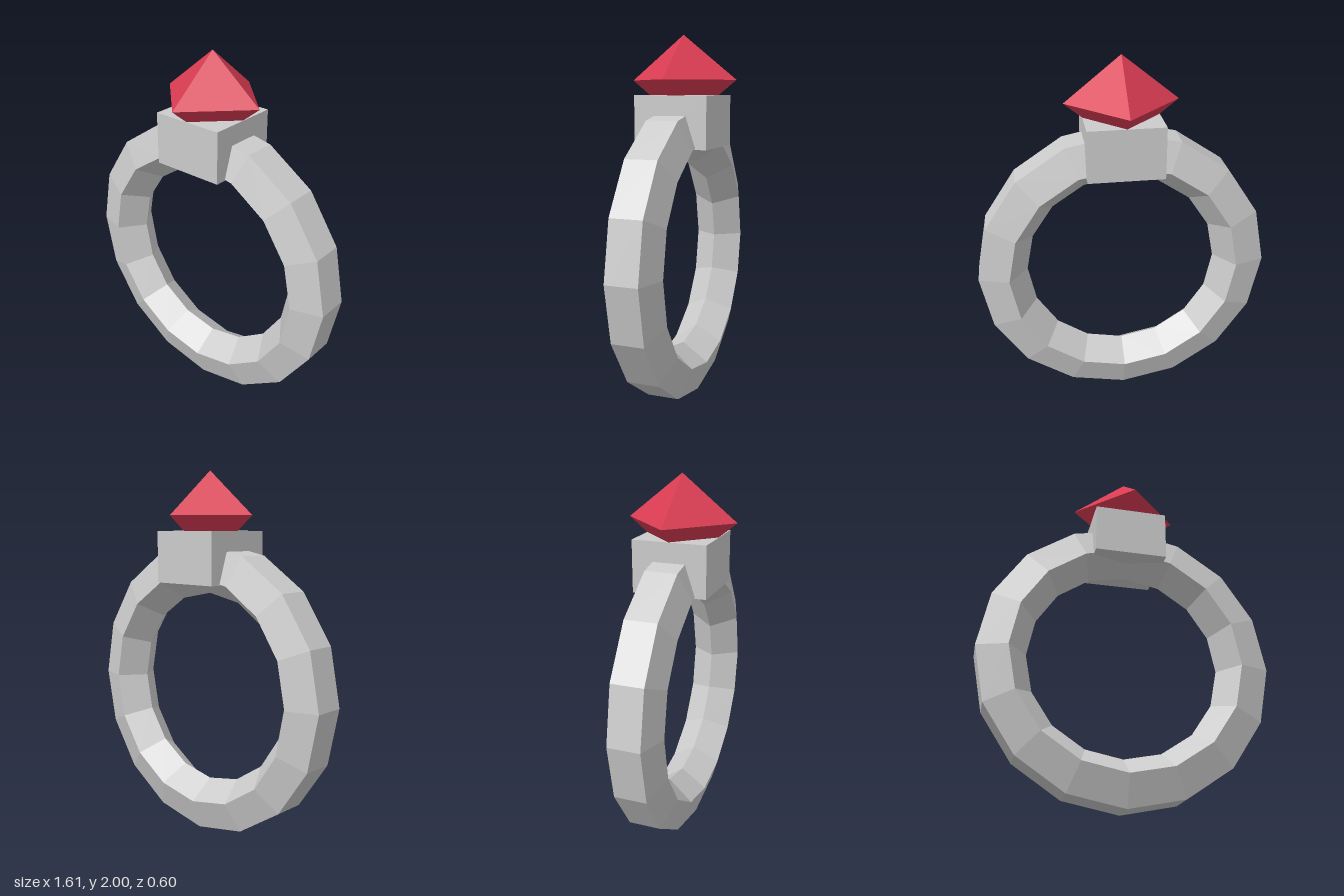
import * as THREE from 'three';

export function createModel() {
  const model = new THREE.Group();
  const grey = new THREE.MeshStandardMaterial({ color: 0xcccccc, flatShading: true });
  const red = new THREE.MeshStandardMaterial({ color: 0xd93b51, flatShading: true });

  const add = (name, geometry, material, y) => {
    const mesh = new THREE.Mesh(geometry, material);
    mesh.name = name;
    mesh.position.y = y;
    model.add(mesh);
  };

  // Band: a pentagon, point inward, swept round 16 segments
  const ringRadius = 0.685, tubeRadius = 0.15;
  const profile = [];
  for (let i = 0; i <= 5; i++) {
    const a = Math.PI + ((i % 5) / 5) * Math.PI * 2;
    profile.push(new THREE.Vector2(ringRadius + tubeRadius * Math.cos(a), tubeRadius * Math.sin(a)));
  }
  add('band', new THREE.LatheGeometry(profile, 16).rotateX(Math.PI / 2), grey, 0.807);

  // Square setting that holds the stone
  add('setting', new THREE.BoxGeometry(0.405, 0.28, 0.405), grey, 1.54);

  // Flattened octahedral stone, its lower half sunk in the setting
  add('gem', new THREE.OctahedronGeometry(0.3).scale(1, 0.8, 1), red, 1.76);

  return model;
}
